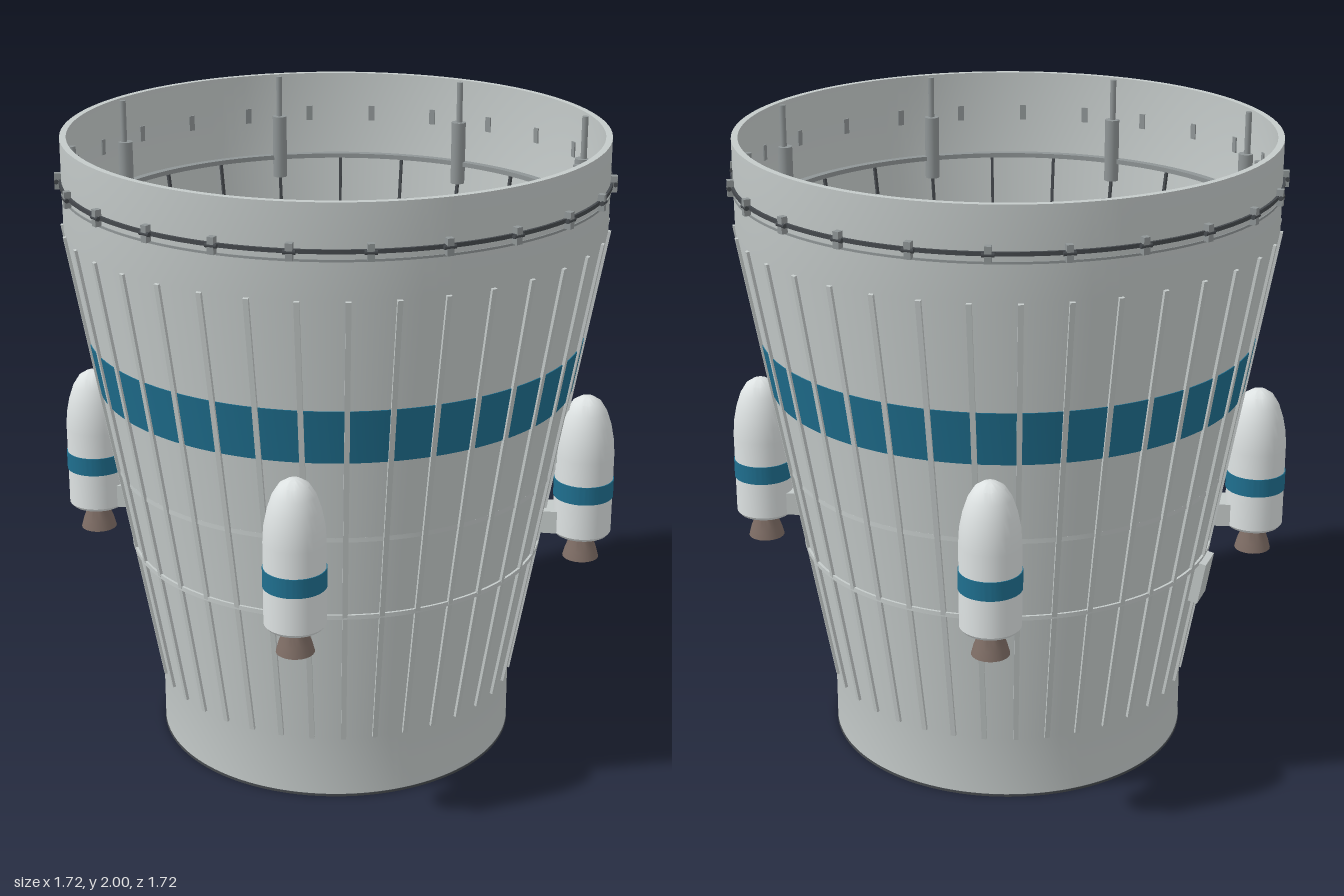
import * as THREE from 'three';
import { mergeGeometries, toCreasedNormals } from 'three/addons/utils/BufferGeometryUtils.js';

const Y0 = 0.21, Y1 = 1.72, R0 = 0.575, R1 = 0.84, WALL = 0.02;
const TILT = Math.atan2(R1 - R0, Y1 - Y0);
const coneR = (y) => R0 + (R1 - R0) * (y - Y0) / (Y1 - Y0);

const lathe = (pts, seg = 96) =>
  toCreasedNormals(new THREE.LatheGeometry(pts.map(([x, y]) => new THREE.Vector2(x, y)), seg), 0.5);

// Closed ring of rectangular section
const ring = (rIn, rOut, y0, y1) => lathe([[rIn, y0], [rOut, y0], [rOut, y1], [rIn, y1], [rIn, y0]]);

// Copies of a geometry (built on the +x side) around the vertical axis
function around(geo, count, offset = 0) {
  const copies = [];
  for (let i = 0; i < count; i++) {
    copies.push(geo.clone().rotateY(-(i + offset) * 2 * Math.PI / count));
  }
  return mergeGeometries(copies);
}

// Bar lying along the slope of the cone, shifted radially by `out`
function slopeBar(width, depth, out, y0, y1) {
  const ym = (y0 + y1) / 2;
  return new THREE.BoxGeometry(depth, (y1 - y0) / Math.cos(TILT), width)
    .rotateZ(-TILT).translate(coneR(ym) + out, ym, 0);
}

export function createModel() {
  const model = new THREE.Group();
  model.name = 'interstageAdapter';
  const mat = (name, color) => {
    const m = new THREE.MeshStandardMaterial({ color });
    m.name = name;
    return m;
  };
  const shellGrey = mat('shell grey', 0xc4cac9);
  const white = mat('motor white', 0xdde2e2);
  const blue = mat('stripe blue', 0x1f6f8f);
  const steel = mat('fitting grey', 0x8f9596);
  const dark = mat('dark metal', 0x45494d);
  const bronze = mat('nozzle bronze', 0x7d6c64);
  const add = (name, geo, material, parent = model) => {
    const mesh = new THREE.Mesh(geo, material);
    mesh.name = name;
    parent.add(mesh);
    return mesh;
  };

  // Thin-walled shell: base collar, cone and top collar
  add('shell', lathe([
    [R0 - WALL, 0], [R0, 0], [R0, Y0], [R1, Y1], [R1, 2],
    [R1 - WALL, 2], [R1 - WALL, Y1], [R0 - WALL, Y0], [R0 - WALL, 0],
  ], 128), shellGrey);
  add('baseRim', ring(R0 - 0.025, R0 + 0.002, 0, 0.008), dark);

  // Painted stripe on the cone
  const b0 = 1.205, b1 = 1.375;
  add('paintedStripe', lathe([[coneR(b0), b0], [coneR(b0) + 0.003, b0],
    [coneR(b1) + 0.003, b1], [coneR(b1), b1]], 128), blue);

  // Outer stringers and hoop
  add('stringers', around(slopeBar(0.016, 0.016, 0.001, Y0, Y1), 37, 0.5), shellGrey);
  add('outerHoop', ring(coneR(0.67) - 0.01, coneR(0.67) + 0.009, 0.663, 0.677), shellGrey);

  // Inner ribs and frames
  add('innerRibs', around(slopeBar(0.009, 0.012, -0.024, Y0, Y1), 24, 0.5), dark);
  add('middleFrame', ring(0.68, 0.705, 0.935, 0.95), shellGrey);
  add('upperFrame', ring(0.795, 0.83, 1.71, 1.725), steel);
  add('lowerFrame', ring(0.545, 0.565, 0.2, 0.21), steel);

  // Separation band with clamps
  add('separationSeam', ring(R1 - 0.005, R1 + 0.003, 1.833, 1.84), steel);
  add('separationBand', ring(R1 - 0.005, R1 + 0.008, 1.857, 1.869), dark);
  add('clamps', around(new THREE.BoxGeometry(0.045, 0.05, 0.02).translate(0.838, 1.863, 0), 24), steel);
  add('clampBolts', around(new THREE.CylinderGeometry(0.007, 0.007, 0.036, 8)
    .rotateX(Math.PI / 2).translate(0.855, 1.863, 0), 24), dark);

  // Separation pushers inside the top collar
  add('pusherBodies', around(new THREE.CylinderGeometry(0.024, 0.024, 0.21, 16)
    .translate(0.803, 1.755, 0), 8, 0.5), steel);
  add('pusherRods', around(new THREE.CylinderGeometry(0.01, 0.01, 0.14, 12)
    .translate(0.807, 1.925, 0), 8, 0.5), steel);

  // Four small solid motors
  const bodyGeo = lathe([[0, 0.71], [0.085, 0.71], [0.093, 0.72], [0.093, 0.98], [0.09, 1.03],
    [0.08, 1.08], [0.065, 1.125], [0.045, 1.157], [0.022, 1.172], [0, 1.176]], 32);
  const nozzleGeo = lathe([[0.028, 0.715], [0.05, 0.63], [0.058, 0.625], [0.05, 0.655],
    [0.037, 0.69], [0.034, 0.715]], 24);
  const nozzleMat = bronze;
  nozzleMat.side = THREE.DoubleSide;
  for (let i = 0; i < 4; i++) {
    const pivot = new THREE.Group();
    pivot.name = 'motorMount';
    pivot.rotation.y = Math.PI / 4 + i * Math.PI / 2;
    model.add(pivot);
    const motor = new THREE.Group();
    motor.name = 'motor';
    motor.position.x = 0.8;
    pivot.add(motor);
    add('motorBody', bodyGeo, white, motor);
    add('motorStripe', ring(0.09, 0.0955, 0.84, 0.9), blue, motor);
    add('nozzle', nozzleGeo, nozzleMat, motor);
    add('nozzleThroat', new THREE.CylinderGeometry(0.03, 0.03, 0.02, 16).translate(0, 0.705, 0), bronze, motor);
    add('lowerBracket', new THREE.BoxGeometry(0.12, 0.075, 0.1).translate(0.69, 0.755, 0), shellGrey, pivot);
    add('upperBracket', new THREE.BoxGeometry(0.06, 0.05, 0.07).translate(0.725, 0.98, 0), shellGrey, pivot);
  }

  // Small equipment box on one side of the cone
  const box = add('equipmentBox', new THREE.BoxGeometry(0.05, 0.14, 0.1), shellGrey);
  const a = Math.PI - 0.5;
  box.position.set(Math.cos(a) * 0.648, 0.6, Math.sin(a) * 0.648);
  box.rotation.set(0, -a, -TILT, 'YXZ');

  return model;
}
